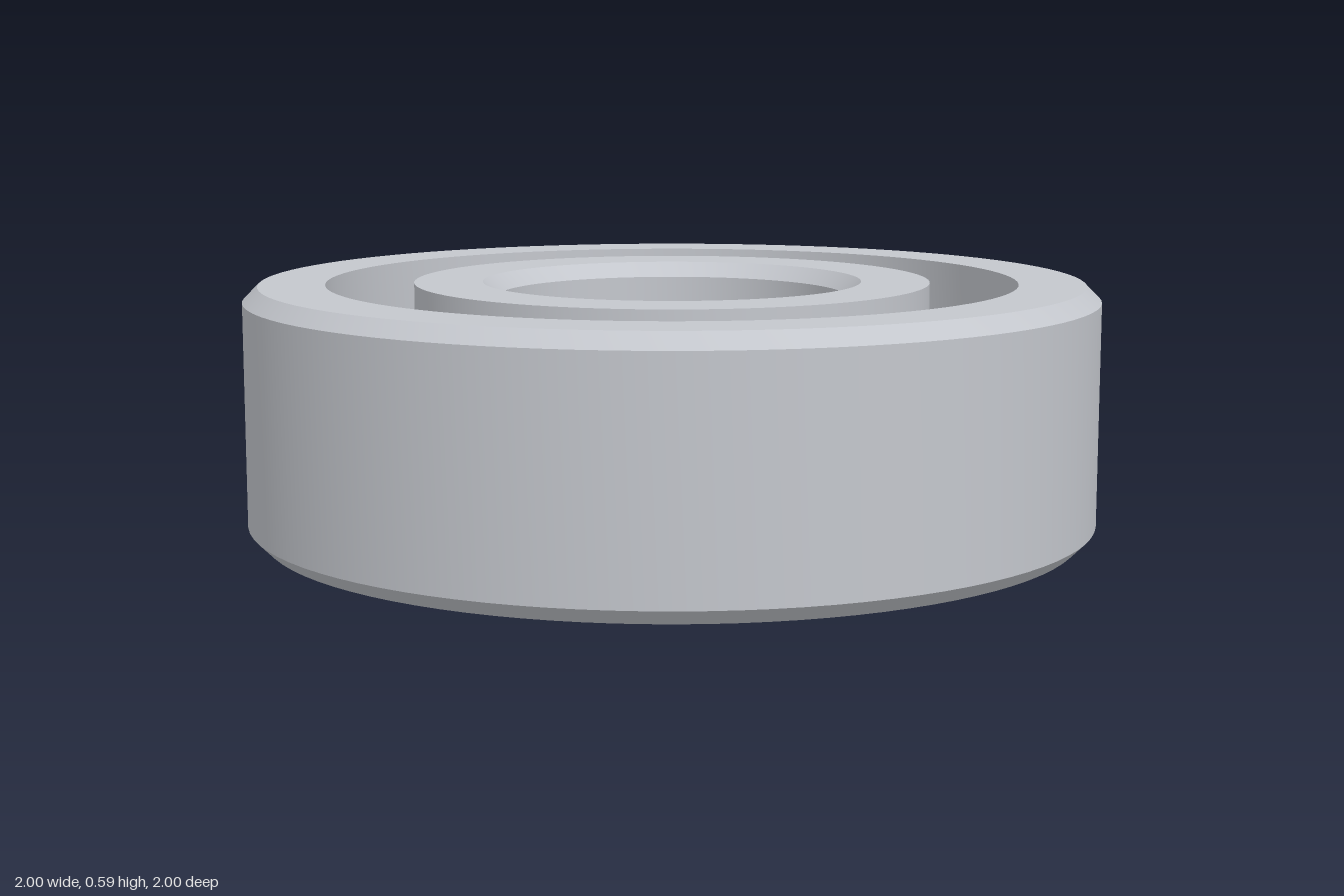
import * as THREE from 'three';
import { toCreasedNormals } from 'three/addons/utils/BufferGeometryUtils.js';

const HEIGHT = 0.59, MID = HEIGHT / 2, CHAMFER = 0.035;
const BALL_RADIUS = 0.163, BALL_ORBIT = 0.705, BALL_COUNT = 9;
const BORE = 0.41, INNER_SHOULDER = 0.605, OUTER_SHOULDER = 0.81, OUTSIDE = 1;

// Arc of the ball groove cut into a shoulder; side +1 faces out, -1 faces in
function groove(shoulder, side) {
  const r = BALL_RADIUS + 0.002;
  const half = Math.acos(Math.abs(shoulder - BALL_ORBIT) / r);
  const points = [];
  for (let i = 0; i <= 14; i++) {
    const a = -half + (2 * half * i) / 14;
    points.push([BALL_ORBIT + side * r * Math.cos(a), MID + r * Math.sin(a)]);
  }
  return points;
}

// Closed ring turned from a counter-clockwise profile, with sharp edges kept
function turnedRing(name, profile, material) {
  const points = [...profile, profile[0]].map(([x, y]) => new THREE.Vector2(x, y));
  const geometry = toCreasedNormals(new THREE.LatheGeometry(points, 96), 0.45);
  const mesh = new THREE.Mesh(geometry, material);
  mesh.name = name;
  return mesh;
}

export function createModel() {
  const steel = new THREE.MeshStandardMaterial({ color: 0xc4c7cd });
  steel.name = 'steel';
  const model = new THREE.Group();
  model.name = 'ballBearing';

  // Inner race: chamfered bore, groove on its outside
  model.add(turnedRing('innerRace', [
    [BORE, CHAMFER], [BORE + CHAMFER, 0], [INNER_SHOULDER, 0],
    ...groove(INNER_SHOULDER, -1),
    [INNER_SHOULDER, HEIGHT], [BORE + CHAMFER, HEIGHT], [BORE, HEIGHT - CHAMFER],
  ], steel));

  // Outer race: chamfered rim, groove on its inside
  model.add(turnedRing('outerRace', [
    [OUTER_SHOULDER, 0], [OUTSIDE - CHAMFER, 0], [OUTSIDE, CHAMFER],
    [OUTSIDE, HEIGHT - CHAMFER], [OUTSIDE - CHAMFER, HEIGHT], [OUTER_SHOULDER, HEIGHT],
    ...groove(OUTER_SHOULDER, 1).reverse(),
  ], steel));

  // Balls evenly spaced around the raceway
  const balls = new THREE.Group();
  balls.name = 'balls';
  const ballGeometry = new THREE.SphereGeometry(BALL_RADIUS, 40, 24);
  for (let i = 0; i < BALL_COUNT; i++) {
    const a = (i / BALL_COUNT) * Math.PI * 2;
    const ball = new THREE.Mesh(ballGeometry, steel);
    ball.name = `ball${i + 1}`;
    ball.position.set(BALL_ORBIT * Math.cos(a), MID, BALL_ORBIT * Math.sin(a));
    balls.add(ball);
  }
  model.add(balls);
  return model;
}
